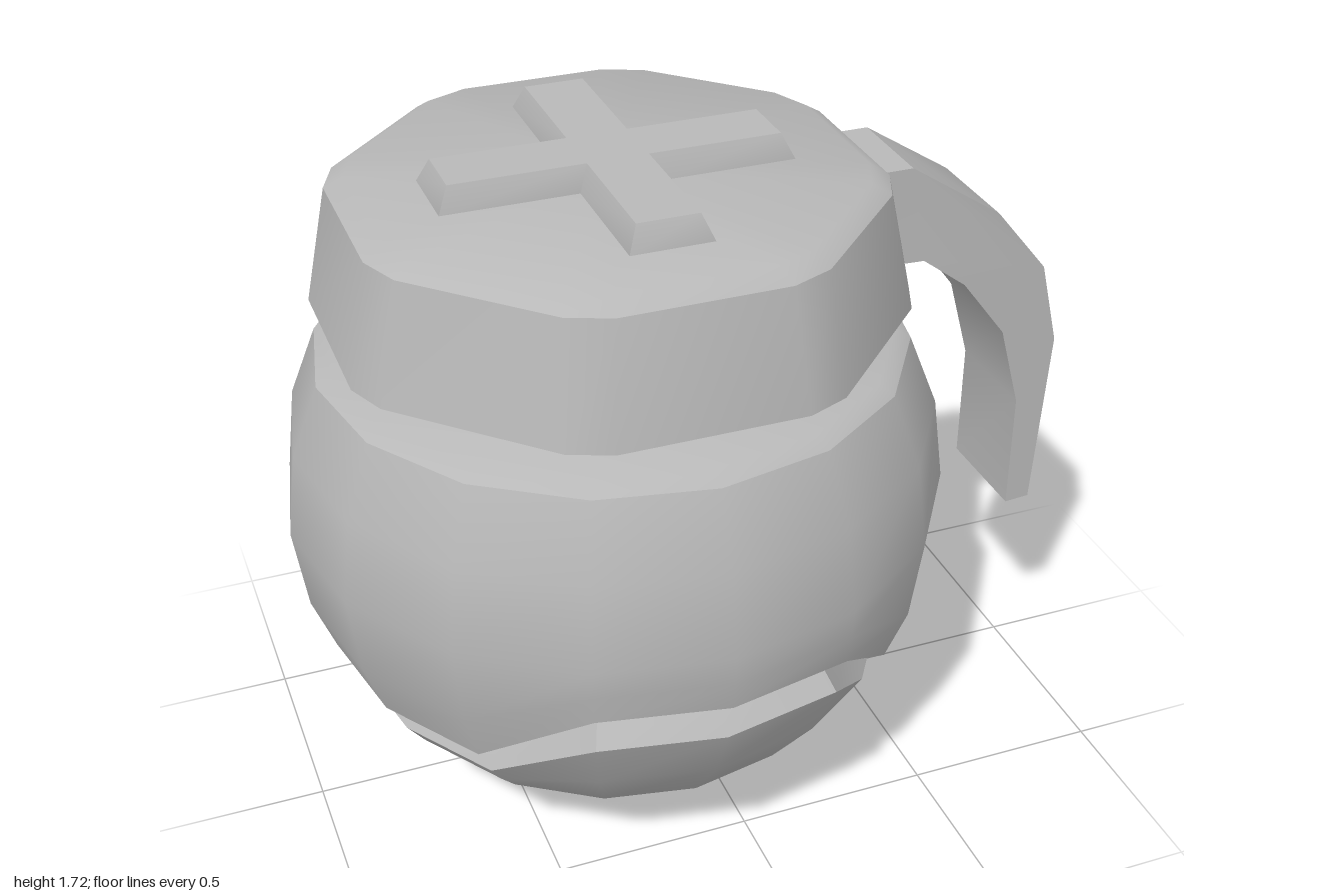
import * as THREE from 'three';
import { toCreasedNormals } from 'three/addons/utils/BufferGeometryUtils.js';

const R = 0.83;    // body radius, also the height of its centre
const CX = -0.17;  // body axis
const SIDES = 16;

// Skin closed loops of [x, y, z] from bottom to top; optional centre heights close the ends.
function loft(rows, bottomY, topY) {
  const n = rows[0].length;
  const pos = [];
  const tri = (a, b, c) => pos.push(...a, ...b, ...c);
  for (let i = 0; i < n; i++) {
    const k = (i + 1) % n;
    for (let j = 0; j < rows.length - 1; j++) {
      const lo = rows[j], hi = rows[j + 1];
      tri(lo[i], lo[k], hi[k]);
      tri(lo[i], hi[k], hi[i]);
    }
    if (bottomY !== undefined) tri([0, bottomY, 0], rows[0][k], rows[0][i]);
    const last = rows[rows.length - 1];
    if (topY !== undefined) tri([0, topY, 0], last[i], last[k]);
  }
  const geo = new THREE.BufferGeometry();
  geo.setAttribute('position', new THREE.Float32BufferAttribute(pos, 3));
  return toCreasedNormals(geo, 0.6);
}

// The seam rises on the three columns around the front and around the back.
const isHigh = (i) => [0, 1, 7, 8, 9, 15].includes(i);

// Ring around the body; heights and radii differ for low and high columns.
function bodyRing(yLow, yHigh = yLow, rLow, rHigh = rLow) {
  const ring = [];
  for (let i = 0; i < SIDES; i++) {
    const a = (i / SIDES) * Math.PI * 2;
    const y = isHigh(i) ? yHigh : yLow;
    const r = (isHigh(i) ? rHigh : rLow) ?? Math.sqrt(R * R - (y - R) ** 2);
    ring.push([Math.sin(a) * r, y, Math.cos(a) * r]);
  }
  return ring;
}

// Octagon with slightly cut corners
function octagon(half, y) {
  const ring = [];
  const t = half * (Math.SQRT2 - 1) - 0.06;
  for (let k = 0; k < 8; k++) {
    const a = (k * Math.PI) / 4, s = Math.sin(a), c = Math.cos(a);
    for (const u of [-t, t]) ring.push([s * half + c * u, y, c * half - s * u]);
  }
  return ring;
}

// Plus-shaped outline
function plus(len, w, y) {
  const ring = [];
  for (let k = 0; k < 4; k++) {
    const a = (k * Math.PI) / 2, s = Math.sin(a), c = Math.cos(a);
    for (const [u, v] of [[-w, len], [w, len], [w, w]]) {
      ring.push([c * u + s * v, y, c * v - s * u]);
    }
  }
  return ring;
}

export function createModel() {
  const model = new THREE.Group();
  model.name = 'grenade';
  const grey = new THREE.MeshStandardMaterial({ color: 0xb8b8b8 });
  grey.name = 'plain grey';
  const add = (name, geo, x = CX) => {
    const mesh = new THREE.Mesh(geo, grey);
    mesh.name = name;
    mesh.position.x = x;
    model.add(mesh);
    return mesh;
  };

  // Round body: lower bowl, recessed zigzag groove and upper shell
  const bowlRim = bodyRing(0.375, 0.57);
  const shellRim = bodyRing(0.47, 0.68);
  add('lowerBowl', loft([
    bodyRing(0.028), bodyRing(0.111), bodyRing(0.243), bodyRing(0.31, 0.415), bowlRim,
  ], 0));
  add('seamGroove', loft([bowlRim, bodyRing(0.45, 0.64, 0.645, 0.72), shellRim]));
  add('upperShell', loft([
    shellRim, bodyRing(0.615, 0.755), bodyRing(0.83), bodyRing(1.045),
    bodyRing(1.225), bodyRing(1.25, 1.25, 0.69),
  ], undefined, 1.25));

  // Neck between body and lid
  const neck = new THREE.CylinderGeometry(0.29, 0.29, 0.16, SIDES);
  add('neck', neck).position.y = 1.29;

  // Tapered octagonal lid with bevelled edges
  add('lid', loft([
    octagon(0.665, 1.32), octagon(0.688, 1.335), octagon(0.63, 1.63), octagon(0.585, 1.66),
  ], 1.32, 1.66));

  // Raised plus on the lid
  add('raisedPlus', loft([plus(0.432, 0.1, 1.65), plus(0.432, 0.1, 1.66), plus(0.404, 0.075, 1.72)], undefined, 1.72));

  // Curved safety lever, a little narrower where it meets the lid
  const side = [
    [0.4, 1.6], [0.56, 1.6], [0.8, 1.445], [0.945, 1.27], [1, 1.05], [0.972, 0.565],
    [0.905, 0.56], [0.905, 0.88], [0.843, 1.1], [0.72, 1.26], [0.6, 1.35], [0.4, 1.35],
  ];
  const shape = new THREE.Shape(side.map(([x, y]) => new THREE.Vector2(x, y)));
  const lever = new THREE.ExtrudeGeometry(shape, { depth: 0.286, bevelEnabled: false });
  lever.translate(0, 0, -0.143);
  const p = lever.attributes.position;
  for (let i = 0; i < p.count; i++) {
    if (p.getX(i) < 0.58) p.setZ(i, p.getZ(i) * 0.91);
  }
  add('safetyLever', toCreasedNormals(lever, 0.5), 0);

  return model;
}
